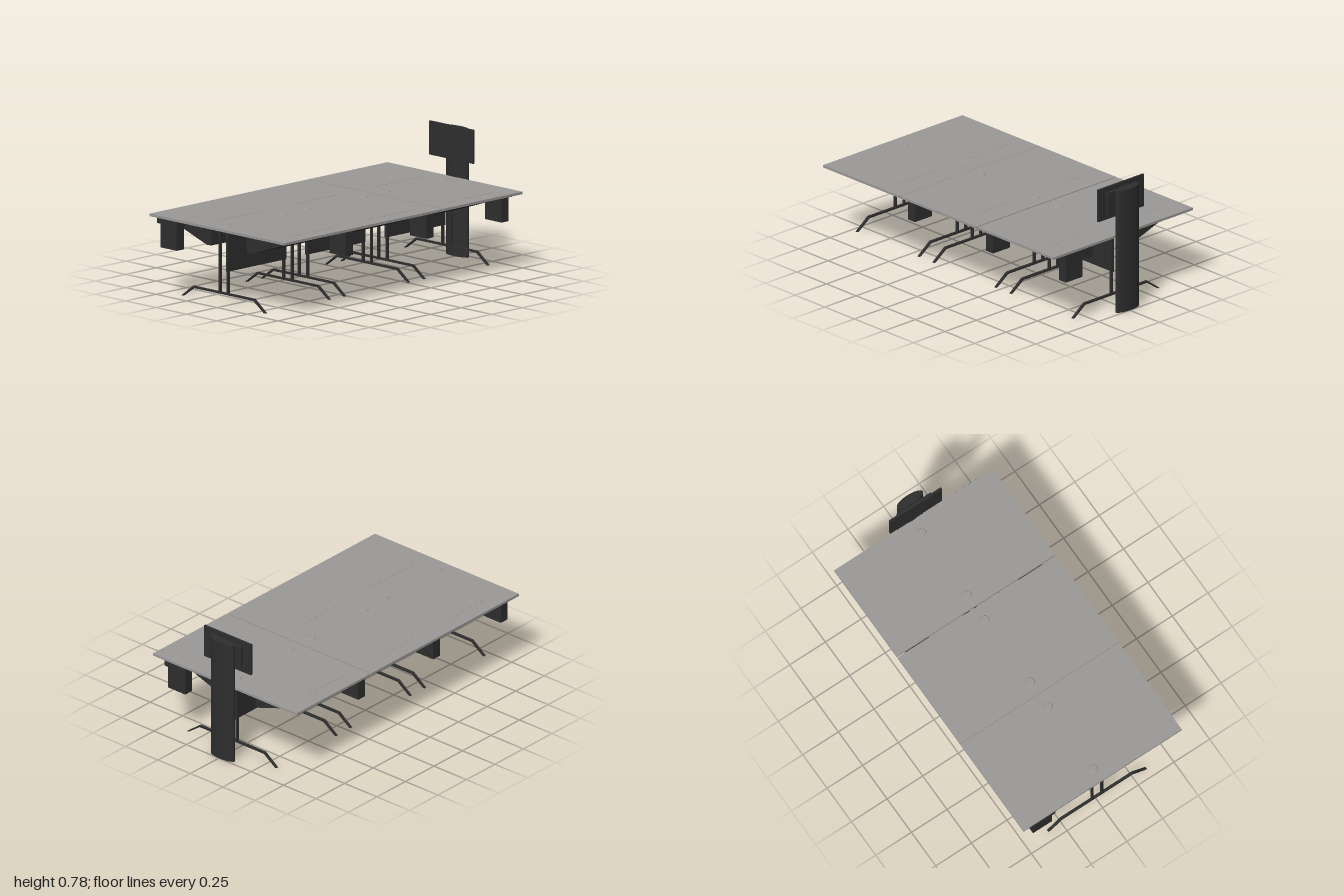
import * as THREE from 'three';

const grey = new THREE.MeshStandardMaterial({ color: 0x9c9a98 });
grey.name = 'grey laminate';
const black = new THREE.MeshStandardMaterial({ color: 0x2e2e2e });
black.name = 'black metal';

function add(parent, name, geometry, material, x = 0, y = 0, z = 0) {
  const mesh = new THREE.Mesh(geometry, material);
  mesh.name = name;
  mesh.position.set(x, y, z);
  parent.add(mesh);
  return mesh;
}

// Box given by its limits on each axis
function box(parent, name, material, [x0, x1], [y0, y1], [z0, z1]) {
  return add(parent, name, new THREE.BoxGeometry(x1 - x0, y1 - y0, z1 - z0), material,
    (x0 + x1) / 2, (y0 + y1) / 2, (z0 + z1) / 2);
}

// Profile in x and y, extruded along z about the given centre
function profile(parent, name, points, depth, z) {
  const shape = new THREE.Shape(points.map(([x, y]) => new THREE.Vector2(x, y)));
  const geometry = new THREE.ExtrudeGeometry(shape, { depth, bevelEnabled: false });
  return add(parent, name, geometry, black, 0, 0, z - depth / 2);
}

const footHalf = [[0.25, 0.081], [0.345, 0.01], [0.333, 0.01], [0.247, 0.07]];
const mirrored = footHalf.map(([x, y]) => [-x, y]).reverse();
const footProfile = [...footHalf, ...mirrored];
const housingProfile = [[0.145, 0.33], [0.18, 0.33], [0.49, 0.437], [0.49, 0.455], [0.145, 0.455]];

function createTable(zBack, zFront, zMid) {
  const table = new THREE.Group();
  table.name = 'table';
  box(table, 'tabletop', grey, [-0.555, 0.555], [0.455, 0.47], [zBack, zFront]);
  box(table, 'centrePanel', black, [-0.005, 0.005], [0.2, 0.455], [zMid - 0.243, zMid + 0.243]);

  for (const side of [-1, 1]) {
    // Flap in the top and the sloping monitor housing under it
    const [a, b] = side > 0 ? [0.14, 0.455] : [-0.455, -0.14];
    box(table, 'flap', grey, [a, b], [0.469, 0.471], [zMid - 0.19, zMid + 0.19]);
    const points = housingProfile.map(([x, y]) => [x * side, y]);
    profile(table, 'monitorHousing', points, 0.45, zMid);

    // End frame: bent foot bar and twin posts
    const zLeg = zMid + side * 0.261;
    profile(table, 'footBar', footProfile, 0.016, zLeg);
    for (const x of [-0.034, 0.034]) {
      box(table, 'post', black, [x - 0.006, x + 0.006], [0.078, 0.455], [zLeg - 0.008, zLeg + 0.008]);
    }

    // Cable outlet
    add(table, 'cableOutlet', new THREE.CylinderGeometry(0.024, 0.028, 0.006, 24), grey,
      -0.006, 0.472, zMid + side * 0.232);
  }
  return table;
}

// Computer case hung from a bracket
function createCase(x, z) {
  const unit = new THREE.Group();
  unit.name = 'computerCase';
  box(unit, 'caseBody', black, [x - 0.067, x + 0.067], [0.28, 0.43], [z - 0.029, z + 0.029]);
  box(unit, 'caseBracket', black, [x - 0.082, x + 0.082], [0.425, 0.455], [z - 0.043, z + 0.043]);
  return unit;
}

function createScreenStand() {
  const stand = new THREE.Group();
  stand.name = 'screenStand';
  const column = add(stand, 'column', new THREE.CylinderGeometry(1, 1, 0.762, 40), black, -0.006, 0.381, -0.971);
  column.scale.set(0.09, 1, 0.029);
  box(stand, 'screen', black, [-0.183, 0.18], [0.58, 0.78], [-0.927, -0.914]);
  box(stand, 'screenMount', black, [-0.12, 0.12], [0.61, 0.75], [-0.943, -0.927]);
  return stand;
}

export function createModel() {
  const model = new THREE.Group();
  model.name = 'conferenceTable';
  model.add(createTable(0.353, 1, 0.68));
  model.add(createTable(-0.294, 0.351, 0.0325));
  model.add(createTable(-0.945, -0.302, -0.6175));
  for (const z of [0.957, 0.364, -0.293]) model.add(createCase(-0.412, z));
  for (const z of [0.366, -0.293, -0.907]) model.add(createCase(0.382, z));
  model.add(createScreenStand());
  return model;
}
